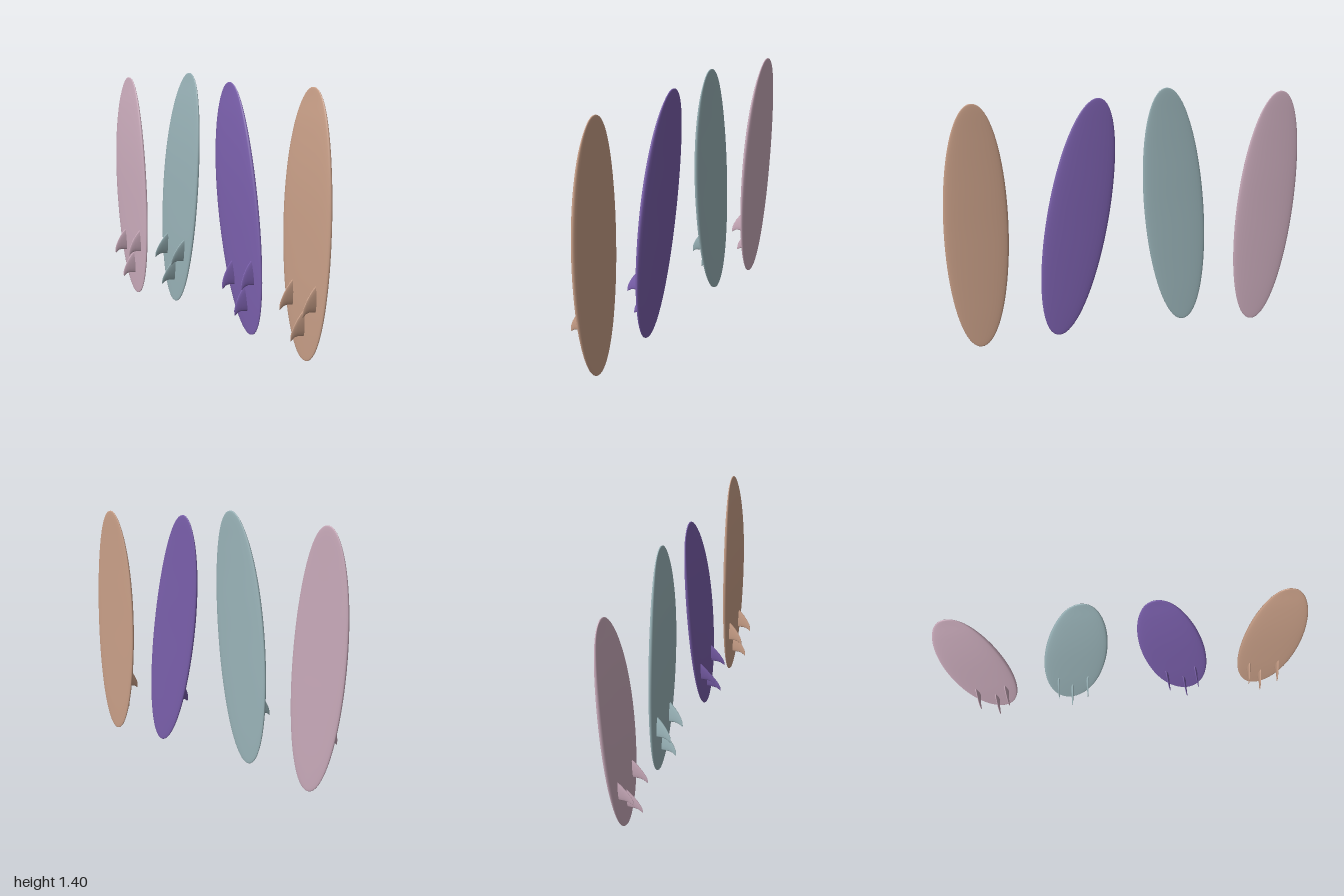
import * as THREE from 'three';

const HALF_LENGTH = 0.68;
const HALF_WIDTH = 0.172;

// Smooth closed skin over a list of rings with equal point counts
function loft(rings) {
  const n = rings[0].length;
  const index = [];
  for (let i = 0; i < rings.length - 1; i++) {
    for (let j = 0; j < n; j++) {
      const a = i * n + j, b = i * n + (j + 1) % n;
      index.push(a, a + n, b, b, a + n, b + n);
    }
  }
  const geometry = new THREE.BufferGeometry();
  geometry.setAttribute('position', new THREE.Float32BufferAttribute(rings.flat(2), 3));
  geometry.setIndex(index);
  geometry.computeVertexNormals();
  return geometry;
}

// Depth along the board: t runs from -1 (tail) to 1 (nose)
const curve = (points) => new THREE.SplineCurve(points.map(([t, z]) => new THREE.Vector2(t, z)));
const finSide = curve([[-1, -0.026], [-0.75, -0.02], [-0.5, -0.016], [-0.25, -0.015], [0, -0.015],
  [0.25, -0.017], [0.5, -0.023], [0.75, -0.034], [1, -0.05]]);
const deckSide = curve([[-1, -0.04], [-0.75, -0.043], [-0.5, -0.045], [-0.25, -0.047], [0, -0.049],
  [0.25, -0.052], [0.5, -0.055], [0.75, -0.059], [1, -0.063]]);

// Board blank: oval outline, flat fin side, domed deck, curved nose
function boardGeometry() {
  const rings = [], stations = 40, sides = 32;
  for (let i = 0; i <= stations; i++) {
    const a = Math.PI * i / stations;
    const t = -Math.cos(a), s = Math.max(0, Math.sin(a));
    const front = finSide.getPoint((t + 1) / 2).y;
    const back = deckSide.getPoint((t + 1) / 2).y;
    const mid = (front + back) / 2;
    const half = (front - back) / 2 * Math.pow(s, 0.3);
    const width = HALF_WIDTH * Math.pow(s, 0.96);
    const ring = [];
    for (let j = 0; j < sides; j++) {
      const p = 2 * Math.PI * j / sides, sin = Math.sin(p);
      const bulge = Math.sign(sin) * Math.pow(Math.abs(sin), sin > 0 ? 0.5 : 0.7);
      ring.push([width * Math.cos(p), HALF_LENGTH * t, mid + half * bulge]);
    }
    rings.push(ring);
  }
  return loft(rings);
}

// Swept fin: [z, leading edge, trailing edge, half thickness] from root to tip
function finGeometry() {
  const levels = [
    [-0.03, 0.14, 0, 0.007], [-0.018, 0.132, 0, 0.007], [0, 0.116, 0.003, 0.006],
    [0.02, 0.094, 0.005, 0.005], [0.04, 0.066, 0.001, 0.004], [0.055, 0.039, -0.009, 0.003],
    [0.063, 0.018, -0.015, 0.002], [0.065, -0.005, -0.005, 0],
  ];
  const sides = 12;
  return loft(levels.map(([z, lead, trail, thick]) => Array.from({ length: sides }, (_, j) => {
    const p = 2 * Math.PI * j / sides;
    return [thick * Math.cos(p), (lead + trail) / 2 - (lead - trail) / 2 * Math.sin(p), z];
  })));
}

export function createModel() {
  const model = new THREE.Group();
  model.name = 'surfboards';
  const board = boardGeometry();
  const fin = finGeometry();

  // Name, colour, centre x, centre y, lean
  const boards = [
    ['pink', 0xcbacbc, -0.8175, 0.682, 0.09],
    ['teal', 0x9bb5ba, -0.2725, 0.725, -0.095],
    ['purple', 0x7b60ad, 0.2775, 0.6925, 0.18],
    ['tan', 0xcba189, 0.828, 0.68, 0],
  ];
  for (const [name, color, x, y, lean] of boards) {
    const material = new THREE.MeshStandardMaterial({ color });
    material.name = name;
    const group = new THREE.Group();
    group.name = name + 'Surfboard';
    group.position.set(x, y, 0);
    group.rotation.z = lean;

    const add = (part, geometry, px = 0, py = 0) => {
      const mesh = new THREE.Mesh(geometry, material);
      mesh.name = part;
      mesh.position.set(px, py, 0);
      group.add(mesh);
    };
    add('board', board);
    // Three fins: one at the tail, a pair further forward
    add('centreFin', fin, 0, -0.548);
    add('leftFin', fin, 0.085, -0.407);
    add('rightFin', fin, -0.085, -0.407);
    model.add(group);
  }
  return model;
}
